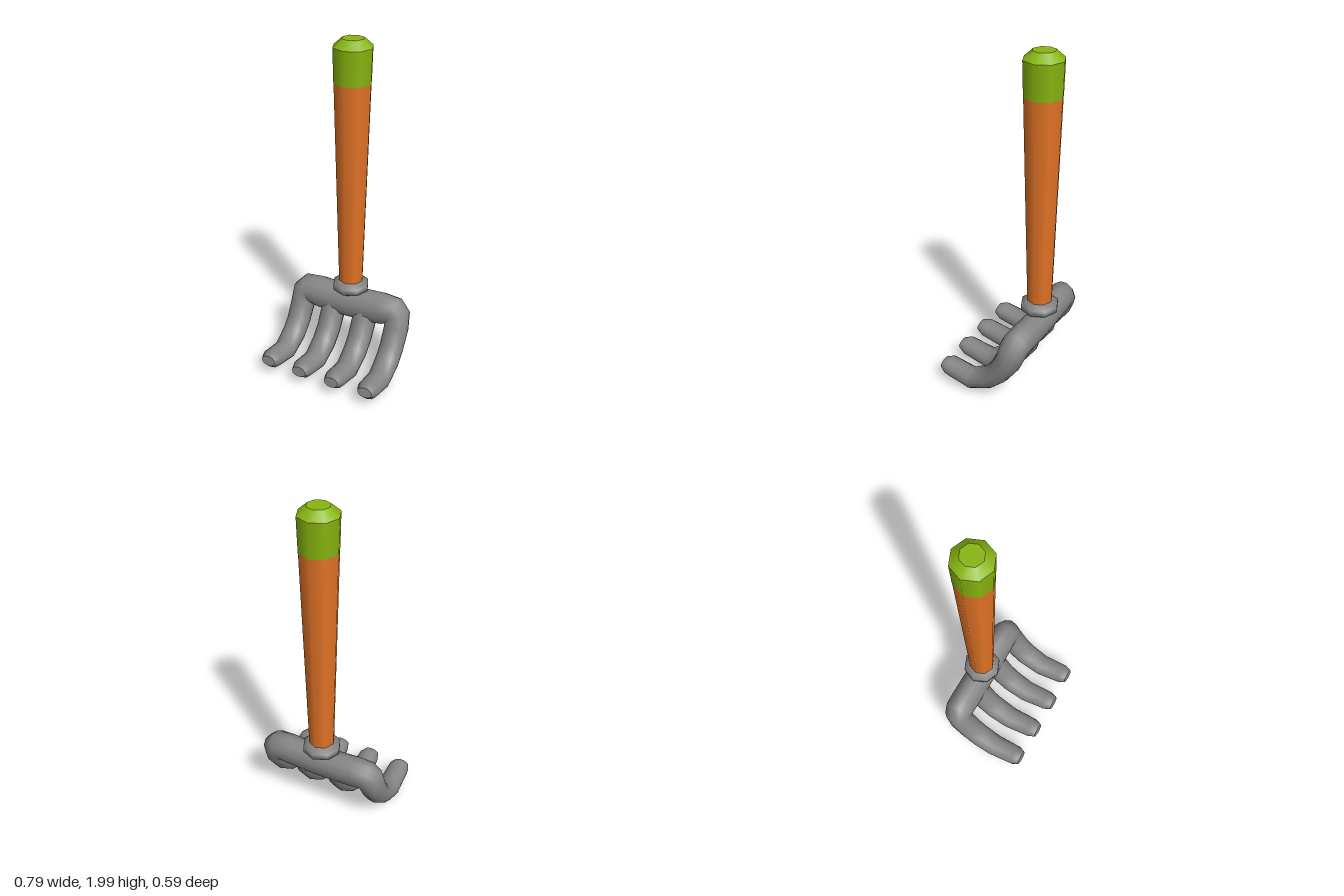
import * as THREE from 'three';

const AXIS_Z = -0.18; // handle and crossbar line
const SIDES = 12;

// Skins elliptical rings along a path. Each station: [x, y, z, radiusU, radiusN].
function loft(stations) {
  const pts = stations.map(s => new THREE.Vector3(s[0], s[1], s[2]));
  const pos = [], idx = [];
  const last = pts.length - 1;
  const u = new THREE.Vector3(1, 0, 0);
  pts.forEach((p, i) => {
    const t = new THREE.Vector3();
    if (i > 0) t.add(p.clone().sub(pts[i - 1]).normalize());
    if (i < last) t.add(pts[i + 1].clone().sub(p).normalize());
    t.normalize();
    u.addScaledVector(t, -u.dot(t)).normalize();
    const n = t.clone().cross(u);
    for (let j = 0; j < SIDES; j++) {
      const a = (j / SIDES) * Math.PI * 2;
      const v = p.clone()
        .addScaledVector(u, Math.cos(a) * stations[i][3])
        .addScaledVector(n, Math.sin(a) * stations[i][4]);
      pos.push(v.x, v.y, v.z);
    }
  });
  for (let i = 0; i < last; i++) {
    for (let j = 0; j < SIDES; j++) {
      const k = (j + 1) % SIDES;
      const a = i * SIDES + j, b = i * SIDES + k;
      idx.push(a, b, a + SIDES, b, b + SIDES, a + SIDES);
    }
  }
  // flat end caps with their own vertices
  for (const i of [0, last]) {
    const base = pos.length / 3;
    pos.push(...pos.slice(i * SIDES * 3, (i + 1) * SIDES * 3));
    pos.push(pts[i].x, pts[i].y, pts[i].z);
    for (let j = 0; j < SIDES; j++) {
      const a = base + j, b = base + ((j + 1) % SIDES), c = base + SIDES;
      if (i === 0) idx.push(c, b, a);
      else idx.push(c, a, b);
    }
  }
  const geo = new THREE.BufferGeometry();
  geo.setAttribute('position', new THREE.Float32BufferAttribute(pos, 3));
  geo.setIndex(idx);
  geo.computeVertexNormals();
  return geo;
}

// Curved prong from its blunt tip up towards the crossbar
function prong(x, tipZ) {
  return [
    [x, 0.11, tipZ, 0.045, 0.03],
    [x, 0.102, 0.245, 0.063, 0.057],
    [x, 0.067, 0.09, 0.07, 0.061],
    [x, 0.122, -0.025, 0.074, 0.065],
    [x, 0.185, -0.09, 0.074, 0.069],
    [x, 0.285, -0.152, 0.075, 0.077],
  ];
}

export function createModel() {
  const metal = new THREE.MeshStandardMaterial({ color: 0x858585 });
  metal.name = 'greyMetal';
  const wood = new THREE.MeshStandardMaterial({ color: 0xe37427 });
  wood.name = 'orangeWood';
  const grip = new THREE.MeshStandardMaterial({ color: 0x88b50f });
  grip.name = 'greenGrip';

  const model = new THREE.Group();
  model.name = 'handRake';
  const add = (name, geo, mat, z = 0) => {
    const mesh = new THREE.Mesh(geo, mat);
    mesh.name = name;
    mesh.position.z = z;
    model.add(mesh);
  };
  // eight-sided section of the handle between two heights
  const section = (name, y0, r0, y1, r1, mat) => {
    const geo = new THREE.CylinderGeometry(r1, r0, y1 - y0, 8);
    geo.translate(0, (y0 + y1) / 2, 0);
    add(name, geo, mat, AXIS_Z);
  };

  // Handle and its end cap
  section('handle', 0.5, 0.074, 1.76, 0.108, wood);
  section('handleCap', 1.76, 0.109, 1.955, 0.114, grip);
  section('handleCapBevel', 1.955, 0.114, 2, 0.063, grip);

  // Collar
  const profile = [[0, 0.42], [0.065, 0.44], [0.112, 0.47], [0.112, 0.505], [0.072, 0.533], [0, 0.533]];
  add('collar', new THREE.LatheGeometry(profile.map(p => new THREE.Vector2(...p)), 8), metal, AXIS_Z);

  // Crossbar with the two outer prongs bent from its ends
  const half = [
    ...prong(0.32, 0.285),
    [0.314, 0.355, -0.175, 0.08, 0.083],
    [0.287, 0.378, AXIS_Z, 0.092, 0.084],
    [0.215, 0.376, AXIS_Z, 0.099, 0.084],
    [0.11, 0.37, AXIS_Z, 0.1, 0.083],
  ];
  const mirrored = half.map(([x, ...rest]) => [-x, ...rest]).reverse();
  add('crossbarAndOuterProngs', loft([...half, [0, 0.366, AXIS_Z, 0.1, 0.083], ...mirrored]), metal);

  // Inner prongs
  for (const side of [1, -1]) {
    const path = [...prong(side * 0.107, 0.292), [side * 0.107, 0.36, -0.175, 0.085, 0.07]];
    add(side > 0 ? 'leftInnerProng' : 'rightInnerProng', loft(path), metal);
  }
  return model;
}
